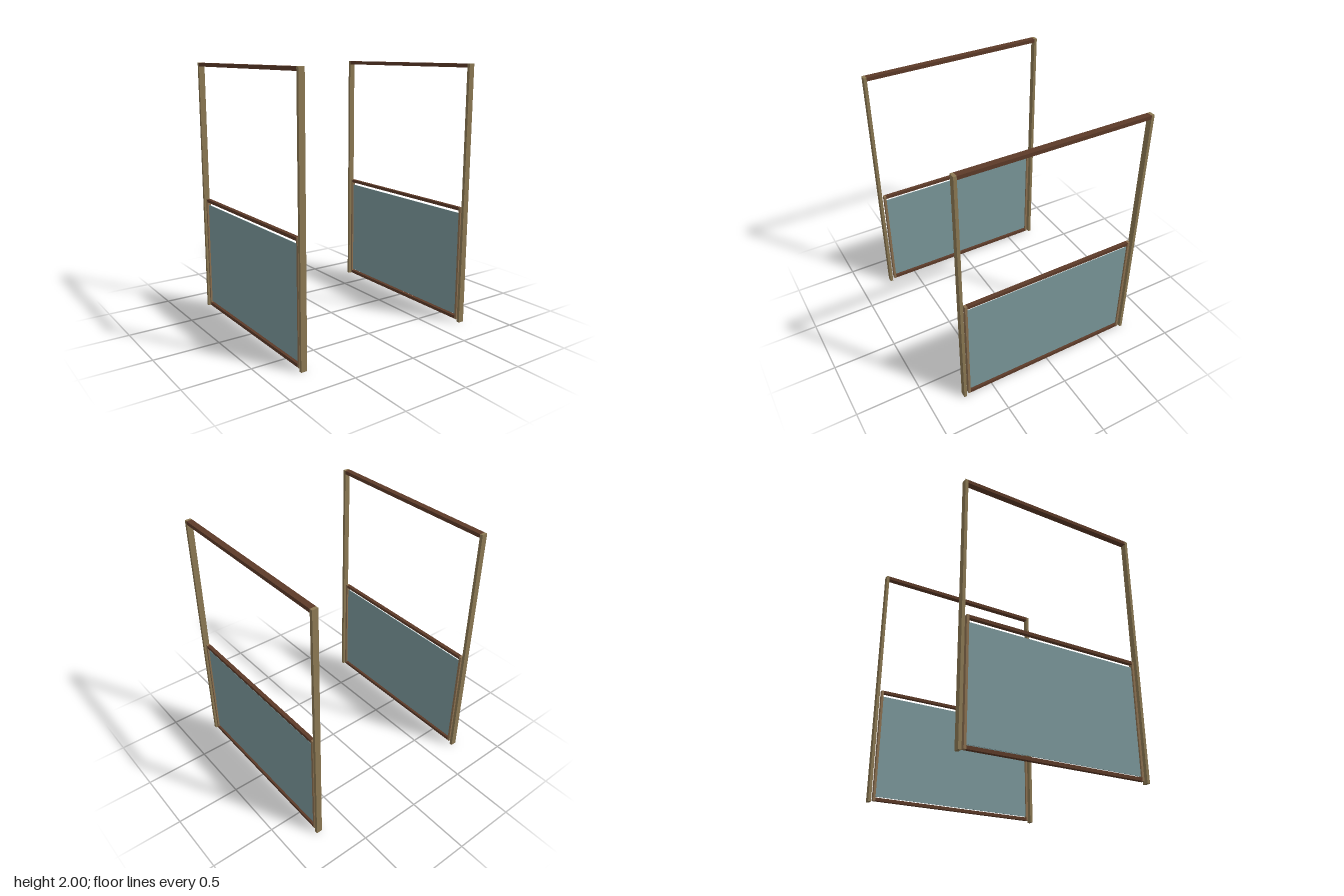
import * as THREE from 'three';

const material = (name, color) => {
  const m = new THREE.MeshStandardMaterial({ color });
  m.name = name;
  return m;
};

export function createModel() {
  const postTan = material('postTan', 0x8b7853);
  const sashTan = material('sashTan', 0x8b7050);
  const railBrown = material('railBrown', 0x5c3a28);
  const paneTeal = material('paneTeal', 0x7a979a);

  // Box spanning y0..y1 and z0..z1, centred across its depth in x
  const slab = (parent, name, mat, depth, y0, y1, z0, z1) => {
    const mesh = new THREE.Mesh(new THREE.BoxGeometry(depth, y1 - y0, z1 - z0), mat);
    mesh.position.set(0, (y0 + y1) / 2, (z0 + z1) / 2);
    mesh.name = name;
    parent.add(mesh);
  };

  const model = new THREE.Group();
  model.name = 'slidingWindows';

  for (const [side, x] of [['left', 0.731], ['right', -0.731]]) {
    const windowUnit = new THREE.Group();
    windowUnit.name = side + 'Window';
    windowUnit.position.x = x;

    // Outer frame: two full-height posts and a head rail, open at the bottom
    const frame = new THREE.Group();
    frame.name = 'outerFrame';
    slab(frame, 'frontPost', postTan, 0.046, 0, 2, 0.718, 0.741);
    slab(frame, 'backPost', postTan, 0.046, 0, 2, -0.741, -0.718);
    slab(frame, 'headRail', railBrown, 0.046, 1.972, 2, -0.718, 0.718);

    // Lower sash with a thin pane held between its stiles
    const sash = new THREE.Group();
    sash.name = 'lowerSash';
    slab(sash, 'frontStile', sashTan, 0.03, 0.012, 0.917, 0.682, 0.7);
    slab(sash, 'backStile', sashTan, 0.03, 0.012, 0.917, -0.7, -0.682);
    slab(sash, 'topRail', railBrown, 0.03, 0.894, 0.917, -0.682, 0.682);
    slab(sash, 'bottomRail', railBrown, 0.03, 0.012, 0.036, -0.682, 0.682);
    slab(sash, 'pane', paneTeal, 0.005, 0.046, 0.87, -0.682, 0.682);

    windowUnit.add(frame, sash);
    model.add(windowUnit);
  }
  return model;
}
